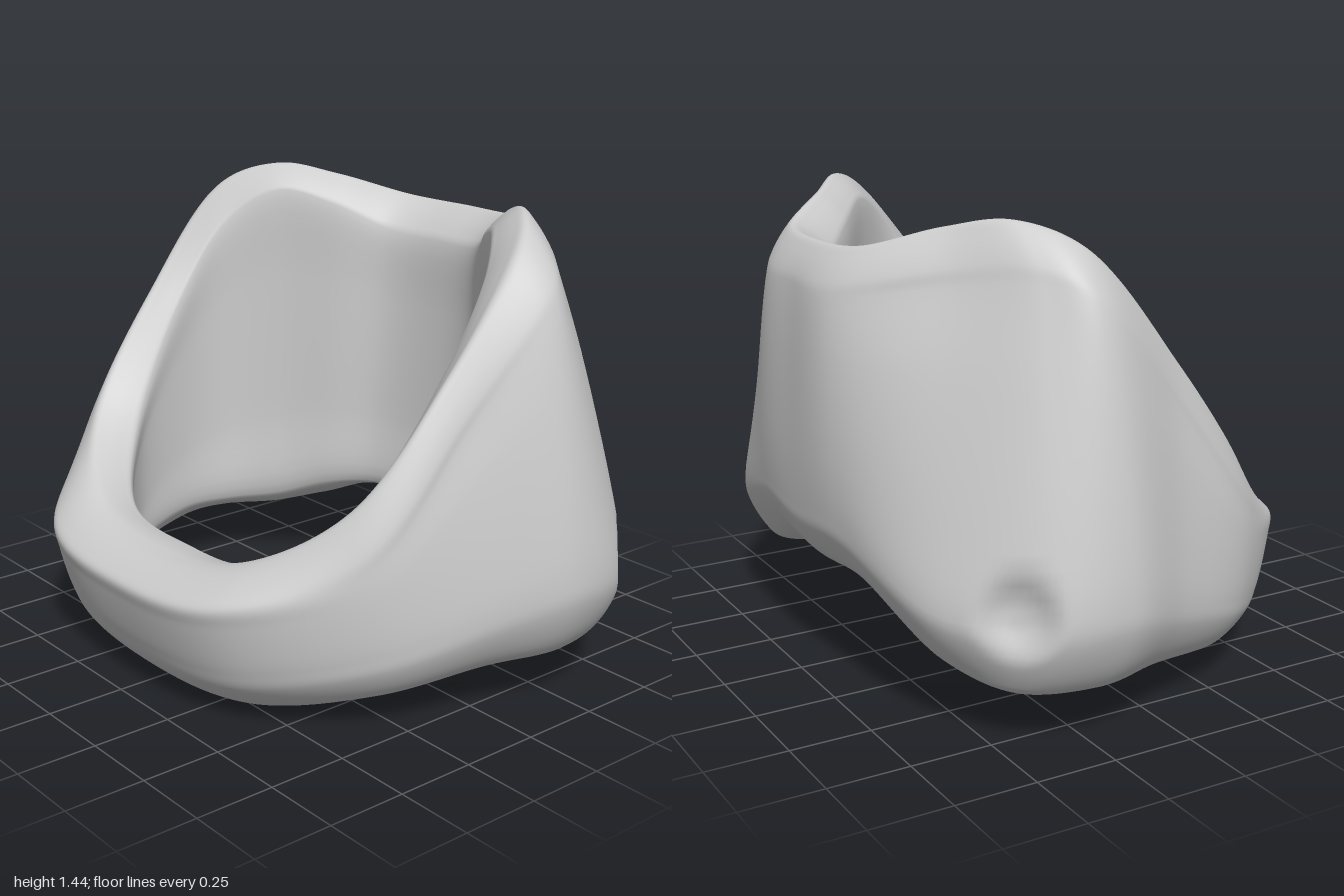
import * as THREE from 'three';

// Rails running from the front centre, round the +x side, to the back centre.
// Bore wall: x, lower y, lower z, upper y, upper z
const BORE = [
  [0, 0.09, 0.485, 0.41, 0.485], [0.34, 0.11, 0.455, 0.44, 0.455], [0.565, 0.2, 0.285, 0.63, 0.285],
  [0.645, 0.25, 0.05, 1.0, 0.05], [0.62, 0.25, -0.13, 1.25, -0.13], [0.51, 0.27, -0.26, 1.36, -0.27],
  [0.36, 0.33, -0.36, 1.32, -0.39], [0.2, 0.36, -0.435, 1.24, -0.51], [0, 0.365, -0.455, 1.23, -0.54],
];
// Remaining rails: x, y, z
const CREST = [
  [0, 0.44, 0.62], [0.37, 0.49, 0.57], [0.65, 0.68, 0.39],
  [0.73, 1.03, 0.11], [0.71, 1.37, -0.18], [0.58, 1.44, -0.33],
  [0.42, 1.41, -0.46], [0.24, 1.345, -0.63], [0, 1.335, -0.67],
];
const SHOULDER = [
  [0, 0.37, 0.765], [0.43, 0.4, 0.705], [0.73, 0.52, 0.405],
  [0.8, 0.9, 0.08], [0.84, 1.22, -0.21], [0.73, 1.28, -0.33],
  [0.52, 1.26, -0.485], [0.23, 1.2, -0.725], [0, 1.2, -0.745],
];
const SKIRT = [
  [0, 0.17, 0.71], [0.43, 0.19, 0.65], [0.75, 0.27, 0.37],
  [0.9, 0.37, 0.04], [0.995, 0.45, -0.19], [0.955, 0.41, -0.41],
  [0.7, 0.4, -0.64], [0.27, 0.56, -0.745], [0, 0.55, -0.76],
];
const BASE = [
  [0, 0.005, 0.54], [0.38, 0.03, 0.5], [0.68, 0.11, 0.3],
  [0.8, 0.155, 0], [0.88, 0.17, -0.23], [0.8, 0.17, -0.45],
  [0.6, 0.22, -0.57], [0.26, 0.35, -0.63], [0, 0.35, -0.65],
];
// Roundness of each side of the section, as a share of that side's length
const BULGE = [0, 0.07, 0.08, 0.02, 0.1, 0.1];

// Mirror half a rail across x = 0 and close it into a smooth loop
function ringCurve(half) {
  const pts = half.map((p) => new THREE.Vector3(...p));
  const mirrored = pts.slice(1, -1).reverse().map((p) => new THREE.Vector3(-p.x, p.y, p.z));
  return new THREE.CatmullRomCurve3([...pts, ...mirrored], true, 'centripetal');
}

// Closed section through the corners, each side bowed gently outwards
function sectionCurve(corners) {
  const centre = new THREE.Vector3();
  corners.forEach((c) => centre.addScaledVector(c, 1 / corners.length));
  const pts = corners.flatMap((a, k) => {
    const b = corners[(k + 1) % corners.length];
    const along = b.clone().sub(a);
    const length = along.length();
    const out = a.clone().lerp(b, 0.5).sub(centre).projectOnPlane(along.normalize()).normalize();
    const onSide = (t) => a.clone().lerp(b, t).addScaledVector(out, BULGE[k] * length);
    return [a, onSide(0.27), onSide(0.73)];
  });
  return new THREE.CatmullRomCurve3(pts, true, 'centripetal');
}

// Press one shallow socket into each rear corner, with a soft rim
function pressSocket(p) {
  const side = Math.sign(p.x) || 1;
  const d = p.distanceTo(new THREE.Vector3(side * 0.885, 0.42, -0.495)) / 0.17;
  if (d >= 1) return;
  const depth = 0.05 * (1 - THREE.MathUtils.smoothstep(d, 0.15, 0.85));
  p.x -= side * depth * 0.75;
  p.z += depth * 0.66;
}

function bandGeometry(around = 240, across = 108) {
  const rails = [
    BORE.map(([x, y, z]) => [x, y, z]),
    BORE.map(([x, , , y, z]) => [x, y, z]),
    CREST, SHOULDER, SKIRT, BASE,
  ].map(ringCurve);

  const positions = [];
  const index = [];
  for (let i = 0; i < around; i++) {
    const section = sectionCurve(rails.map((r) => r.getPoint(i / around)));
    for (let j = 0; j < across; j++) {
      const p = section.getPoint(j / across);
      pressSocket(p);
      positions.push(p.x, p.y, p.z);
      const ni = (i + 1) % around;
      const nj = (j + 1) % across;
      const a = i * across + j;
      const b = i * across + nj;
      const c = ni * across + j;
      const d = ni * across + nj;
      index.push(a, b, c, b, d, c);
    }
  }
  const geometry = new THREE.BufferGeometry();
  geometry.setAttribute('position', new THREE.Float32BufferAttribute(positions, 3));
  geometry.setIndex(index);
  geometry.computeVertexNormals();

  // Stand on the ground, centred front to back
  geometry.computeBoundingBox();
  const box = geometry.boundingBox;
  geometry.translate(0, -box.min.y, -(box.min.z + box.max.z) / 2);
  return geometry;
}

export function createModel() {
  const group = new THREE.Group();
  group.name = 'collar';
  const band = new THREE.Mesh(
    bandGeometry(),
    new THREE.MeshStandardMaterial({ color: 0xcccccc }),
  );
  band.name = 'band';
  group.add(band);
  return group;
}
